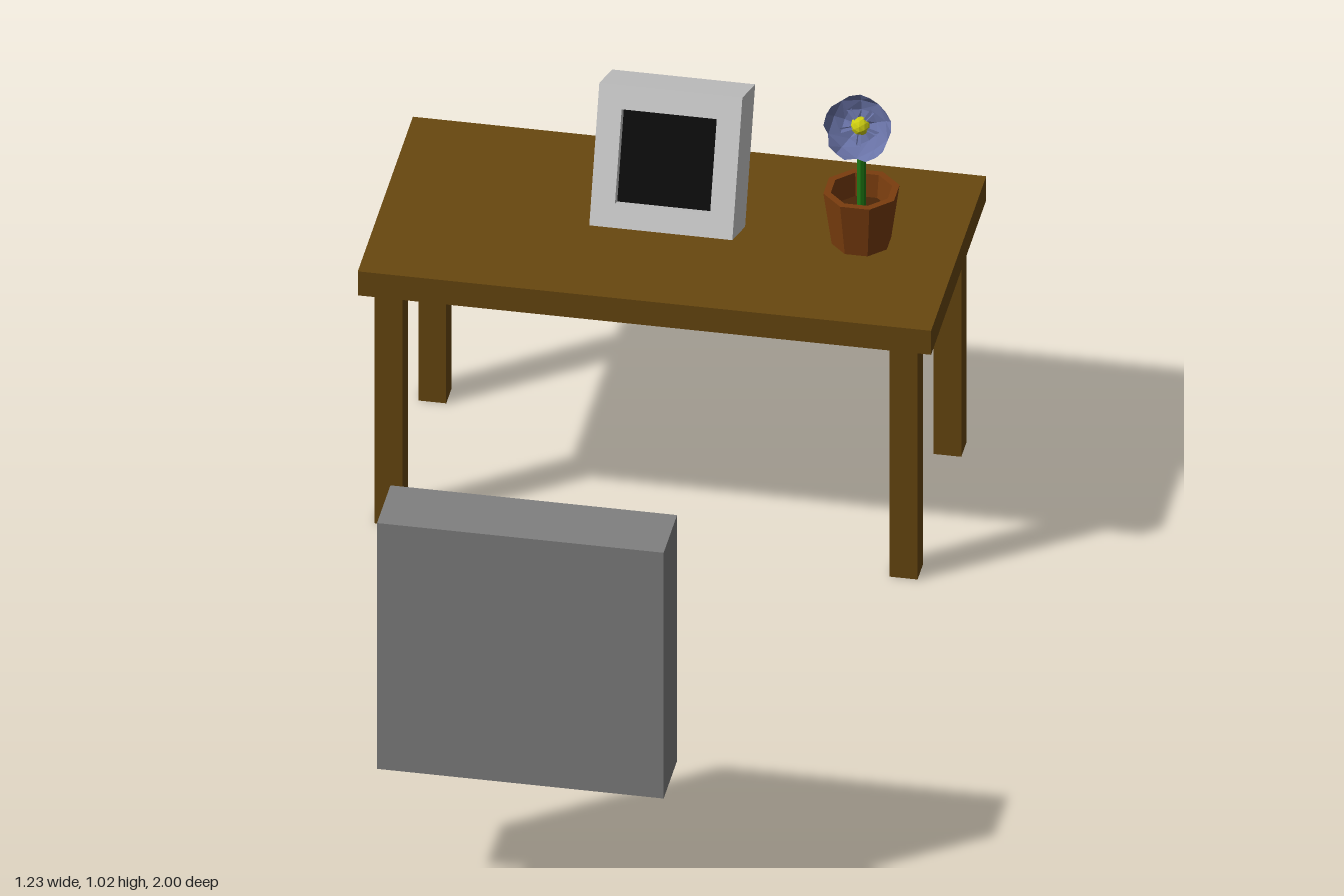
import * as THREE from 'three';

const mat = (color, side = THREE.FrontSide) =>
  new THREE.MeshStandardMaterial({ color, flatShading: true, side });

const wood = mat(0x68470f);
const grey = mat(0x808080);
const lightGrey = mat(0xcccccc);
const black = mat(0x0c0c0c);
const clay = mat(0x7a3d0e, THREE.DoubleSide);
const soilMat = mat(0x4a2508);
const green = mat(0x1f7a14);
const yellow = mat(0xcccc11);
const blue = mat(0x6a74a8, THREE.DoubleSide);

function add(parent, name, geometry, material, x = 0, y = 0, z = 0) {
  const mesh = new THREE.Mesh(geometry, material);
  mesh.name = name;
  mesh.position.set(x, y, z);
  parent.add(mesh);
  return mesh;
}

function group(parent, name, x = 0, y = 0, z = 0) {
  const g = new THREE.Group();
  g.name = name;
  g.position.set(x, y, z);
  parent.add(g);
  return g;
}

const box = (w, h, d) => new THREE.BoxGeometry(w, h, d);

function buildTable(parent) {
  const table = group(parent, 'table');
  add(table, 'tableTop', box(1.23, 0.06, 0.615), wood, 0, 0.616, -0.6925);
  for (const x of [-0.555, 0.55]) {
    for (const z of [-0.446, -0.934]) {
      add(table, 'tableLeg', box(0.06, 0.587, 0.06), wood, x, 0.2935, z);
    }
  }
}

function buildMonitor(parent) {
  const monitor = group(parent, 'monitor', 0, 0.817, -0.695);
  monitor.rotation.x = -0.374;
  const h = 0.1535, o = 0.102, recess = 0.03;

  // Casing with a recessed screen behind a square frame
  add(monitor, 'casing', box(2 * h, 2 * h, 0.153 - recess), lightGrey, 0, 0, -recess / 2);
  const frame = new THREE.Shape([[-h, -h], [h, -h], [h, h], [-h, h]].map(p => new THREE.Vector2(...p)));
  frame.holes.push(new THREE.Path([[-o, -o], [-o, o], [o, o], [o, -o]].map(p => new THREE.Vector2(...p))));
  add(monitor, 'bezel', new THREE.ExtrudeGeometry(frame, { depth: recess, bevelEnabled: false }),
    lightGrey, 0, 0, 0.0765 - recess);
  add(monitor, 'screen', new THREE.PlaneGeometry(2 * o, 2 * o), black, 0, 0, 0.0785 - recess);

  // Rear housing, its top sloping down toward the back
  const side = new THREE.Shape([[0, -0.1], [0.142, -0.097], [0.142, 0.058], [0, 0.102]]
    .map(p => new THREE.Vector2(...p)));
  const housing = new THREE.ExtrudeGeometry(side, { depth: 0.204, bevelEnabled: false });
  housing.rotateY(Math.PI / 2);
  add(monitor, 'rearHousing', housing, grey, -0.102, 0, -0.0765);
}

// Cupped petal growing along +y and curling toward +z
function petalGeometry() {
  const geo = new THREE.PlaneGeometry(2, 1, 2, 3);
  const halfWidth = [0.010, 0.030, 0.040, 0.022];
  const reach = [0.012, 0.036, 0.058, 0.073];
  const rise = [0.004, 0.006, 0.018, 0.036];
  const p = geo.attributes.position;
  for (let i = 0; i < p.count; i++) {
    const row = Math.round((p.getY(i) + 0.5) * 3);
    const u = p.getX(i);
    p.setXYZ(i, u * halfWidth[row], reach[row] - Math.abs(u) * 0.004,
      rise[row] + Math.abs(u) * 0.008);
  }
  geo.computeVertexNormals();
  return geo;
}

function buildPlant(parent) {
  const plant = group(parent, 'pottedFlower', 0.406, 0, -0.695);

  // Eight-sided pot with an open rim
  const profile = [[0, 0.652], [0.064, 0.652], [0.082, 0.78], [0.066, 0.78], [0.06, 0.725]]
    .map(p => new THREE.Vector2(...p));
  add(plant, 'pot', new THREE.LatheGeometry(profile, 8, Math.PI / 8), clay);
  const soil = add(plant, 'soil', new THREE.CircleGeometry(0.061, 8, Math.PI / 8), soilMat, 0, 0.726, 0);
  soil.rotation.x = -Math.PI / 2;

  add(plant, 'stem', new THREE.CylinderGeometry(0.01, 0.01, 0.25, 8), green, 0, 0.805, 0);

  // Five petals around the centre, leaning back a little
  const flower = group(plant, 'flower', -0.002, 0.938, -0.003);
  flower.rotation.x = -0.37;
  add(flower, 'flowerCentre', new THREE.IcosahedronGeometry(0.022, 1), yellow);
  const petal = petalGeometry();
  for (let i = 0; i < 5; i++) {
    add(flower, 'petal', petal, blue).rotation.z = (i * 2 * Math.PI) / 5;
  }
}

export function createModel() {
  const model = new THREE.Group();
  model.name = 'deskScene';
  buildTable(model);
  buildMonitor(model);
  buildPlant(model);
  // Free-standing block facing the table
  add(model, 'block', box(0.615, 0.615, 0.15), grey, 0, 0.6175, 0.925);
  return model;
}
